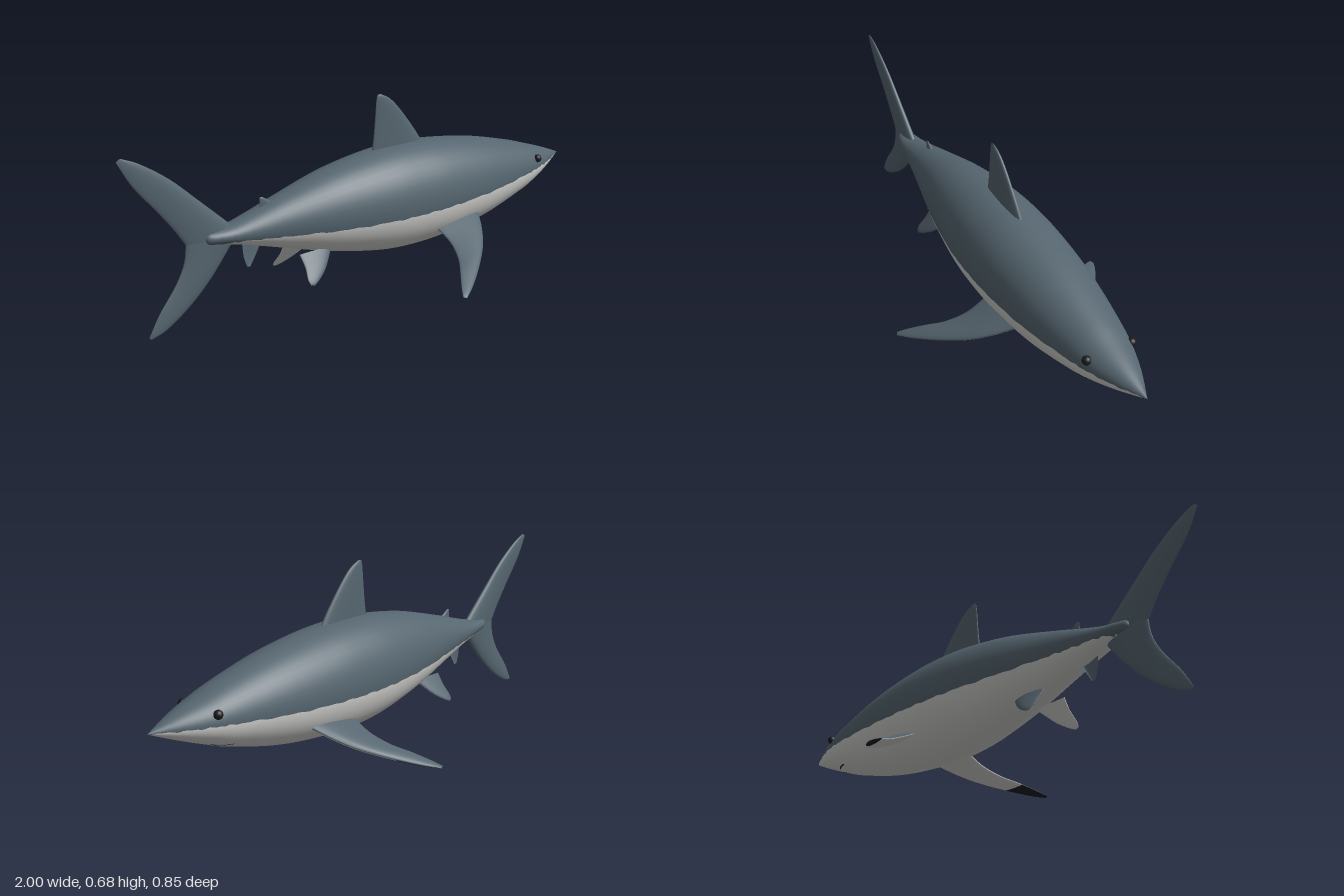
import * as THREE from 'three';

const V = (x, y, z = 0) => new THREE.Vector3(x, y, z);
const mat = (name, color) => new THREE.MeshStandardMaterial({ name, color });

// Skins a list of closed rings; pick(i, j) gives the material slot of each quad.
function loft(rings, pick, slots) {
  const n = rings[0].length, pts = rings.flat(), faces = Array.from({ length: slots }, () => []);
  for (let i = 0; i < rings.length - 1; i++) {
    for (let j = 0; j < n; j++) {
      const a = i * n + j, b = i * n + (j + 1) % n;
      faces[pick(i, j)].push([a, a + n, b], [b, a + n, b + n]);
    }
  }
  // Turn the faces outward by the sign of the enclosed volume
  let volume = 0;
  const cross = V(0, 0);
  for (const [a, b, c] of faces.flat()) volume += pts[a].dot(cross.crossVectors(pts[b], pts[c]));
  const geo = new THREE.BufferGeometry().setFromPoints(pts), index = [];
  faces.forEach((list, slot) => {
    geo.addGroup(index.length, list.length * 3, slot);
    for (const [a, b, c] of list) index.push(...(volume > 0 ? [a, b, c] : [a, c, b]));
  });
  geo.setIndex(index);
  geo.computeVertexNormals();
  return geo;
}

// Tapered foil between a leading and a trailing edge, both running root to tip.
function fin(name, lead, trail, thick, normal, mats, tipStart = 2) {
  const L = new THREE.CatmullRomCurve3(lead, false, 'catmullrom');
  const T = new THREE.CatmullRomCurve3(trail, false, 'catmullrom');
  const spans = 24, around = 20, rings = [];
  for (let i = 0; i <= spans; i++) {
    const s = i / spans, l = L.getPoint(s), t = T.getPoint(s);
    const h = thick * (1 - 0.75 * s) * Math.sqrt(1 - s ** 8);
    rings.push(Array.from({ length: around }, (_, k) => {
      const a = k / around * Math.PI * 2, u = (1 - Math.cos(a)) / 2;
      return l.clone().lerp(t, u).addScaledVector(normal, h * Math.sin(a) * (1.3 - 0.6 * u));
    }));
  }
  const pick = (i, j) => j < around / 2 ? 0 : i / spans >= tipStart ? 2 : 1;
  const mesh = new THREE.Mesh(loft(rings, pick, 3), mats);
  mesh.name = name;
  return mesh;
}

export function createModel() {
  const model = new THREE.Group();
  model.name = 'shark';
  const slate = mat('slate back', 0x566670), pale = mat('pale belly', 0xd2d2cf), black = mat('black', 0x1b1c20);
  const dark = [slate, slate, slate];

  // Body: x, top, bottom, half width, height of the colour line
  const profile = [
    [-0.715, 0.305, 0.305, 0, 0.305], [-0.7, 0.325, 0.285, 0.024, 0.286], [-0.66, 0.33, 0.278, 0.038, 0.28],
    [-0.6, 0.338, 0.265, 0.05, 0.284], [-0.5, 0.366, 0.236, 0.069, 0.277], [-0.4, 0.396, 0.205, 0.09, 0.27],
    [-0.2, 0.449, 0.145, 0.133, 0.259], [0, 0.479, 0.102, 0.162, 0.255], [0.15, 0.485, 0.089, 0.17, 0.255],
    [0.3, 0.476, 0.094, 0.168, 0.258], [0.5, 0.446, 0.12, 0.15, 0.266], [0.7, 0.397, 0.172, 0.115, 0.279],
    [0.8, 0.366, 0.208, 0.09, 0.285], [0.9, 0.333, 0.249, 0.051, 0.289], [1, 0.294, 0.294, 0, 0.294]];
  const curveA = new THREE.CatmullRomCurve3(profile.map(p => V(p[0], p[1], p[3])), false, 'catmullrom');
  const curveB = new THREE.CatmullRomCurve3(profile.map(p => V(p[0], p[2], p[4])), false, 'catmullrom');
  const rings = [], steps = 140, half = 24;
  for (let i = 0; i <= steps; i++) {
    const a = curveA.getPoint(i / steps), b = curveB.getPoint(i / steps);
    const yc = (a.y + b.y) / 2, h = Math.max((a.y - b.y) / 2, 1e-5), w = Math.max(a.z, 0);
    const ripple = 0.003 * Math.sin(i * 1.3) * Math.sin(i * 0.37);
    const start = Math.asin(THREE.MathUtils.clamp((b.z + ripple - yc) / h, -0.98, 0.98));
    rings.push(Array.from({ length: half * 2 }, (_, j) => {
      const t = j < half ? start + (Math.PI - 2 * start) * j / half
        : Math.PI - start + (Math.PI + 2 * start) * (j - half) / half;
      return V(a.x, yc + h * Math.sin(t), w * Math.cos(t));
    }));
  }
  const body = new THREE.Mesh(loft(rings, (i, j) => j < half ? 0 : 1, 2), [slate, pale]);
  body.name = 'body';
  model.add(body);

  // Fins on the centre line
  const side = V(0, 0, 1);
  model.add(
    fin('dorsalFin', [V(0.26, 0.45), V(0.2, 0.535), V(0.13, 0.62), V(0.085, 0.662), V(0.045, 0.682)],
      [V(0.0, 0.45), V(0.012, 0.53), V(0.02, 0.61), V(0.024, 0.655), V(0.03, 0.681)], 0.016, side, dark),
    fin('secondDorsalFin', [V(-0.42, 0.37), V(-0.455, 0.392), V(-0.475, 0.404)],
      [V(-0.49, 0.35), V(-0.485, 0.385), V(-0.485, 0.402)], 0.008, side, dark),
    fin('analFin', [V(-0.48, 0.25), V(-0.505, 0.205), V(-0.53, 0.165)],
      [V(-0.56, 0.25), V(-0.555, 0.205), V(-0.543, 0.167)], 0.008, side, dark),
    fin('upperTailLobe', [V(-0.57, 0.305), V(-0.71, 0.435), V(-0.82, 0.535), V(-0.92, 0.604), V(-0.985, 0.634)],
      [V(-0.775, 0.3), V(-0.81, 0.355), V(-0.87, 0.435), V(-0.95, 0.535), V(-1, 0.624)], 0.018, side, dark),
    fin('lowerTailLobe', [V(-0.58, 0.295), V(-0.68, 0.17), V(-0.77, 0.085), V(-0.86, 0.025), V(-0.918, 0.006)],
      [V(-0.775, 0.305), V(-0.785, 0.24), V(-0.82, 0.17), V(-0.885, 0.085), V(-0.926, 0.014)], 0.018, side, dark));

  // Paired fins and eyes
  for (const [name, s] of [['right', 1], ['left', -1]]) {
    const pec = (x, z, drop = 0) => V(x, 0.19 - 0.555 * (z - 0.12) - drop, s * z);
    model.add(fin(name + 'PectoralFin',
      [pec(0.43, 0.12), pec(0.385, 0.19), pec(0.325, 0.26), pec(0.24, 0.33), pec(0.15, 0.392), pec(0.09, 0.425)],
      [pec(0.21, 0.11, 0.018), pec(0.213, 0.2, 0.012), pec(0.185, 0.275, 0.006), pec(0.14, 0.335), pec(0.1, 0.385), pec(0.078, 0.418)],
      0.016, V(0, 0.875, s * 0.485), [slate, pale, black], 0.6));

    const pel = (x, y) => V(x, y, s * (0.09 + (0.125 - y) * 0.72));
    model.add(fin(name + 'PelvicFin',
      [pel(-0.22, 0.18), pel(-0.275, 0.125), pel(-0.315, 0.098), pel(-0.345, 0.084)],
      [pel(-0.36, 0.18), pel(-0.357, 0.14), pel(-0.364, 0.105), pel(-0.36, 0.088)],
      0.009, V(0, 0.58, s * 0.81), [slate, pale, pale]));

    const eye = new THREE.Mesh(new THREE.SphereGeometry(0.016, 20, 14), black);
    eye.name = name + 'Eye';
    eye.position.set(0.79, 0.322, s * 0.086);
    model.add(eye);
  }

  // Mouth line curving across the underside of the snout
  const lips = [[0.715, 0.203, 0.073], [0.76, 0.206, 0.056], [0.795, 0.214, 0.028]];
  const path = [...lips.map(p => V(...p)), V(0.806, 0.212, 0), ...lips.reverse().map(p => V(p[0], p[1], -p[2]))];
  const mouth = new THREE.Mesh(new THREE.TubeGeometry(new THREE.CatmullRomCurve3(path), 40, 0.003, 6), black);
  mouth.name = 'mouth';
  model.add(mouth);
  return model;
}
